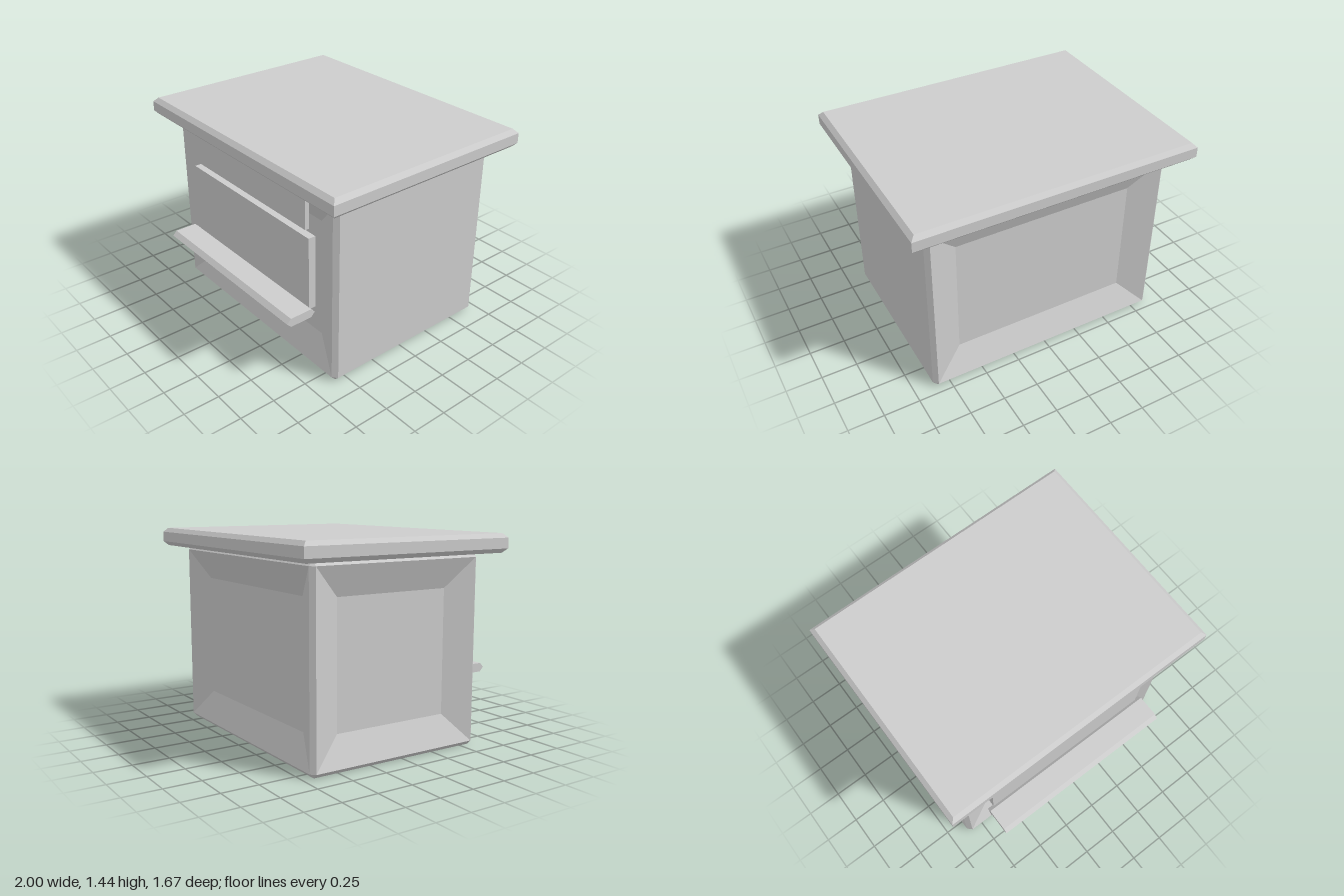
import * as THREE from 'three';

const SIGNS = [-1, 1];
const RING = [[-1, -1], [1, -1], [1, 1], [-1, 1]];

// Flat polygons around the origin, each turned to face outwards
function polygonGeometry(polygons) {
  const pos = [];
  for (const poly of polygons) {
    const p = poly.map((q) => new THREE.Vector3(...q));
    const mid = p.reduce((m, q) => m.add(q), new THREE.Vector3());
    const normal = p[1].clone().sub(p[0]).cross(p[2].clone().sub(p[0]));
    if (normal.dot(mid) < 0) p.reverse();
    for (let i = 1; i < p.length - 1; i++) {
      for (const q of [p[0], p[i], p[i + 1]]) pos.push(q.x, q.y, q.z);
    }
  }
  const g = new THREE.BufferGeometry();
  g.setAttribute('position', new THREE.Float32BufferAttribute(pos, 3));
  g.computeVertexNormals();
  return g;
}

// Box with every edge bevelled; the faces listed in recessed are sunk with sloping borders
function cabinetGeometry(h, c, recessed, border, depth) {
  const polys = [];
  const point = (values) => {
    const q = [0, 0, 0];
    for (const [axis, v] of values) q[axis] = v;
    return q;
  };
  for (let a = 0; a < 3; a++) {
    const u = (a + 1) % 3, v = (a + 2) % 3;
    for (const s of SIGNS) {
      const rect = (inset, sink) => RING.map(([su, sv]) =>
        point([[a, s * (h[a] - sink)], [u, su * (h[u] - inset)], [v, sv * (h[v] - inset)]]));
      const outer = rect(c, 0);
      if (recessed.includes(s * (a + 1))) {
        const inner = rect(c + border, depth);
        polys.push(inner);
        for (let i = 0; i < 4; i++) {
          const j = (i + 1) % 4;
          polys.push([outer[i], outer[j], inner[j], inner[i]]);
        }
      } else polys.push(outer);
      // Bevels between this axis and the next
      for (const t of SIGNS) {
        const edge = (ca, cu, k) =>
          point([[a, s * (h[a] - ca)], [u, t * (h[u] - cu)], [v, k * (h[v] - c)]]);
        polys.push([edge(0, c, -1), edge(0, c, 1), edge(c, 0, 1), edge(c, 0, -1)]);
      }
    }
  }
  // Corner triangles
  for (const x of SIGNS) for (const y of SIGNS) for (const z of SIGNS) {
    const s = [x, y, z];
    polys.push([0, 1, 2].map((a) => s.map((q, i) => q * (h[i] - (i === a ? 0 : c)))));
  }
  return polygonGeometry(polys);
}

// Slab with bevelled upper and lower rims and sharp upright corners
function slabGeometry(hx, hy, hz, c) {
  const rings = [[c, -hy], [0, c - hy], [0, hy - c], [c, hy]].map(([inset, y]) =>
    RING.map(([sx, sz]) => [sx * (hx - inset), y, sz * (hz - inset)]));
  const polys = [rings[0], rings[3]];
  for (let r = 0; r < 3; r++) {
    for (let i = 0; i < 4; i++) {
      const j = (i + 1) % 4;
      polys.push([rings[r][i], rings[r][j], rings[r + 1][j], rings[r + 1][i]]);
    }
  }
  return polygonGeometry(polys);
}

export function createModel() {
  const group = new THREE.Group();
  const grey = new THREE.MeshStandardMaterial({ color: 0xcccccc });
  grey.name = 'grey';

  const add = (name, geometry, x, y, z) => {
    const mesh = new THREE.Mesh(geometry, grey);
    mesh.name = name;
    mesh.position.set(x, y, z);
    group.add(mesh);
  };
  const board = (name, x0, x1, y0, y1, z0, z1) =>
    add(name, new THREE.BoxGeometry(x1 - x0, y1 - y0, z1 - z0),
      (x0 + x1) / 2, (y0 + y1) / 2, (z0 + z1) / 2);

  // Cabinet, sunk on the front, the back and the -x side
  add('cabinet', cabinetGeometry([0.868, 0.655, 0.652], 0.03, [3, -3, -1], 0.2, 0.08), 0, 0.655, -0.052);

  // Overhanging roof
  add('roof', slabGeometry(1, 0.064, 0.782, 0.029), 0, 1.372, -0.053);

  // Front boards
  board('signBoard', -0.65, 0.65, 1.07, 1.285, 0.627, 0.657);
  board('servingPanel', -0.65, 0.65, 0.48, 1.0, 0.58, 0.632);

  // Counter shelf with pointed long edges
  const shelf = new THREE.Shape([
    [0.62, 0.48], [0.65, 0.45], [0.808, 0.45], [0.838, 0.48], [0.808, 0.511], [0.65, 0.511],
  ].map(([z, y]) => new THREE.Vector2(-z, y)));
  const shelfGeometry = new THREE.ExtrudeGeometry(shelf, { depth: 1.384, bevelEnabled: false });
  shelfGeometry.rotateY(Math.PI / 2);
  add('counterShelf', shelfGeometry, -0.692, 0, 0);

  // Small plates below the shelf
  for (const x of [-0.567, -0.133, 0.302]) {
    board('lowerPlate', x - 0.108, x + 0.108, 0.22, 0.392, 0.608, 0.636);
  }
  return group;
}
